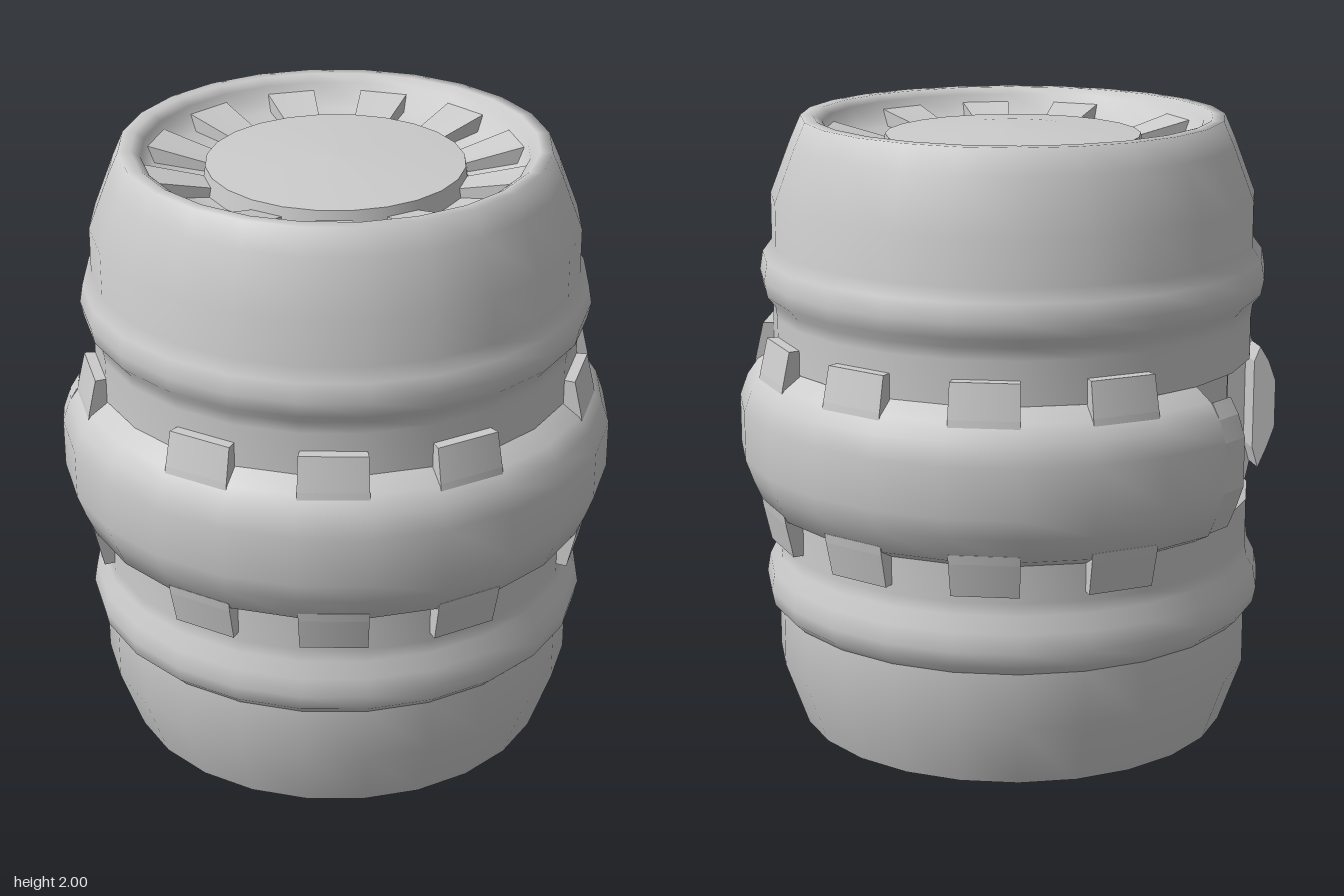
import * as THREE from 'three';
import { mergeGeometries } from 'three/addons/utils/BufferGeometryUtils.js';

const material = new THREE.MeshStandardMaterial({ color: 0xcccccc, side: THREE.DoubleSide });
const rad = THREE.MathUtils.degToRad;
const vectors = (pairs) => pairs.map(([r, y]) => new THREE.Vector2(r, y));

// Profile of [radius, height] turned from one angle to another (degrees, 0 = front).
// A repeated point makes a sharp edge.
function turned(profile, from, to) {
  const segments = Math.max(1, Math.round((to - from) / 15));
  return new THREE.LatheGeometry(vectors(profile), segments, rad(from), rad(to - from));
}

// Closed cross-section swept over an arc, with flat ends and sharp edges.
function wedge(section, from, to) {
  const parts = section.map((p, i) => turned([p, section[(i + 1) % section.length]], from, to));
  for (const angle of [from, to]) {
    const cap = new THREE.ShapeGeometry(new THREE.Shape(vectors(section)));
    cap.rotateY(rad(angle - 90));
    parts.push(cap);
  }
  return mergeGeometries(parts);
}

export function createModel() {
  const model = new THREE.Group();
  const add = (name, geometry) => {
    const mesh = new THREE.Mesh(geometry, material);
    mesh.name = name;
    mesh.position.x = -0.04;
    model.add(mesh);
  };

  // Barrel with two hoops, a channel under the belt and a sunken lid
  add('barrel', turned([
    [0, 0], [0.705, 0], [0.705, 0], [0.78, 0.21], [0.78, 0.39], [0.78, 0.39],
    [0.81, 0.42], [0.82, 0.47], [0.81, 0.53], [0.785, 0.58], [0.78, 0.62],
    [0.78, 0.77], [0.78, 0.77], [0.71, 0.79], [0.71, 0.79], [0.71, 1.22], [0.71, 1.22],
    [0.78, 1.24], [0.78, 1.24], [0.78, 1.38], [0.785, 1.42], [0.81, 1.45],
    [0.82, 1.5], [0.81, 1.56], [0.78, 1.6], [0.78, 1.75], [0.715, 1.92], [0.68, 2],
    [0.64, 2], [0.61, 1.98], [0.58, 1.9], [0.42, 1.88], [0.42, 1.88],
    [0.41, 1.94], [0.41, 1.94], [0.2, 1.955], [0, 1.96],
  ], 0, 360));

  // Bulging belt, open on one side
  const bulge = [
    [0.76, 0.73], [0.835, 0.77], [0.87, 0.85], [0.895, 0.92], [0.895, 1.08],
    [0.87, 1.15], [0.835, 1.2], [0.76, 1.25],
  ];
  add('belt', turned(bulge, -60, 240));

  // Thick ends of the belt beside the opening
  const endSection = [
    [0.82, 0.85], [0.84, 0.78], [0.87, 0.85], [0.895, 0.92], [0.895, 1.08],
    [0.87, 1.15], [0.84, 1.2], [0.82, 1.15],
  ];
  add('beltEndFront', wedge(endSection, -66.5, -60));
  add('beltEndBack', wedge(endSection, 240, 246.5));
  for (const angle of [-60, 240]) {
    const cap = new THREE.ShapeGeometry(new THREE.Shape(vectors([[0.7, 0.79], ...bulge, [0.7, 1.22]])));
    add('beltClosure', cap.rotateY(rad(angle - 90)));
  }

  // Teeth along both belt edges and matching ribs in the lid groove
  const upperTooth = [[0.76, 1.18], [0.845, 1.18], [0.84, 1.21], [0.815, 1.32], [0.76, 1.32]];
  const lowerTooth = upperTooth.map(([r, y]) => [r, 1.97 - y]).reverse();
  const rib = [[0.415, 1.86], [0.6, 1.86], [0.6, 1.955], [0.415, 1.91]];
  const toothAngles = [-60, -15, 15, 45, 90, 120, 150, 180, 210];
  for (const a of toothAngles) {
    add('upperTooth', wedge(upperTooth, a, a + 15));
    add('lowerTooth', wedge(lowerTooth, a, a + 15));
  }
  for (const a of [...toothAngles, 240, 270]) add('lidRib', wedge(rib, a, a + 15));

  return model;
}
